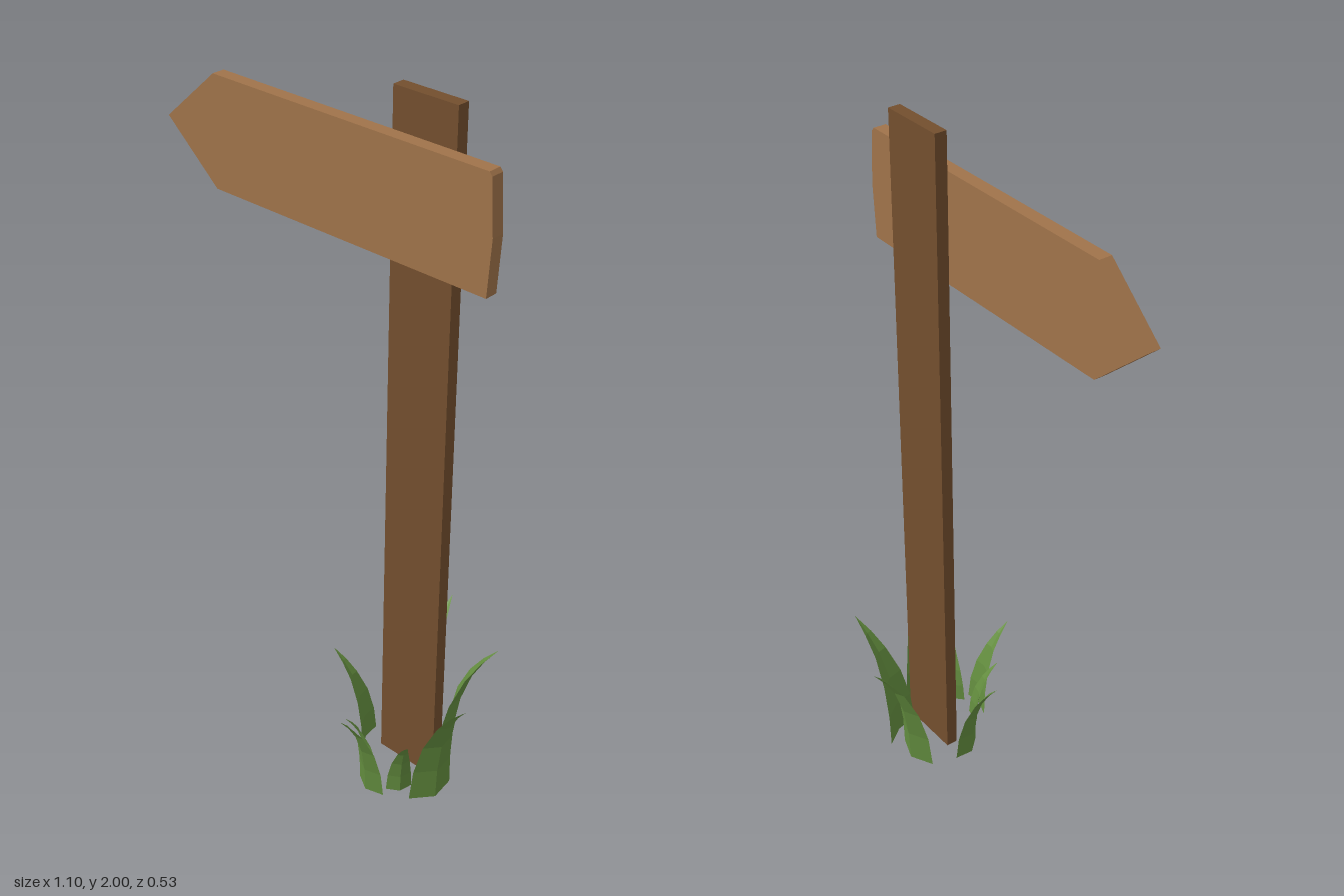
import * as THREE from 'three';

const paint = (color) => new THREE.MeshStandardMaterial({ color, flatShading: true });

// Full-size grass blade: a folded crescent section that tapers and bends towards +z
function bladeGeometry() {
  // height, lean, width factor
  const rings = [[0, 0, 1], [0.1, 0.008, 0.9], [0.2, 0.03, 0.7], [0.29, 0.068, 0.42], [0.35, 0.108, 0.22], [0.4, 0.152, 0]];
  const section = [[-0.068, 0], [0, 0.03], [0.068, 0], [0, 0.014]]; // wing, spine, wing, inner fold
  const positions = [];
  for (const [y, lean, f] of rings) {
    for (const [x, z] of section) positions.push(x * f, y, z * f + lean);
  }
  const index = [0, 3, 1, 1, 3, 2]; // foot
  const n = section.length;
  for (let r = 0; r < rings.length - 1; r++) {
    for (let i = 0; i < n; i++) {
      const j = (i + 1) % n;
      const a = r * n + i, b = r * n + j;
      index.push(a, b, b + n);
      if (r < rings.length - 2) index.push(a, b + n, a + n);
    }
  }
  const geometry = new THREE.BufferGeometry();
  geometry.setAttribute('position', new THREE.Float32BufferAttribute(positions, 3));
  geometry.setIndex(index);
  const flat = geometry.toNonIndexed();
  flat.computeVertexNormals();
  return flat;
}

export function createModel() {
  const model = new THREE.Group();
  model.name = 'signpost';

  // Upright plank
  const post = new THREE.Mesh(new THREE.BoxGeometry(0.193, 2, 0.035), paint(0x734f2e));
  post.name = 'post';
  post.position.set(0.278, 1, -0.0105);
  model.add(post);

  // Arrow board with a slightly bowed blunt end
  const outline = [[-0.552, 1.737], [-0.378, 1.583], [0.508, 1.583], [0.518, 1.737], [0.508, 1.883], [0.5, 1.893], [-0.378, 1.893]];
  const shape = new THREE.Shape(outline.map(([x, y]) => new THREE.Vector2(x, y)));
  const board = new THREE.Mesh(
    new THREE.ExtrudeGeometry(shape, { depth: 0.037, bevelEnabled: false }),
    paint(0xa0734a)
  );
  board.name = 'arrowBoard';
  board.position.z = 0.01;
  model.add(board);

  // Grass around the foot: base x, base z, lean direction x, z, scale
  const grass = new THREE.Group();
  grass.name = 'grass';
  const blade = bladeGeometry();
  const green = paint(0x648e3f);
  const blades = [
    [0.212, -0.114, -0.008, -0.15, 1],
    [0.318, -0.098, 0.137, -0.062, 1],
    [0.405, 0.055, 0.145, 0.041, 1],
    [0.275, 0.152, -0.015, 0.11, 0.74],
    [0.23, 0.102, -0.028, 0.068, 0.54],
    [0.335, 0.105, 0.065, 0.045, 0.54],
    [0.138, 0.01, -0.103, 0.035, 0.74],
  ];
  for (const [x, z, dx, dz, scale] of blades) {
    const mesh = new THREE.Mesh(blade, green);
    mesh.name = 'grassBlade';
    mesh.position.set(x, 0, z);
    mesh.rotation.y = Math.atan2(dx, dz);
    mesh.scale.setScalar(scale);
    grass.add(mesh);
  }
  model.add(grass);

  return model;
}
